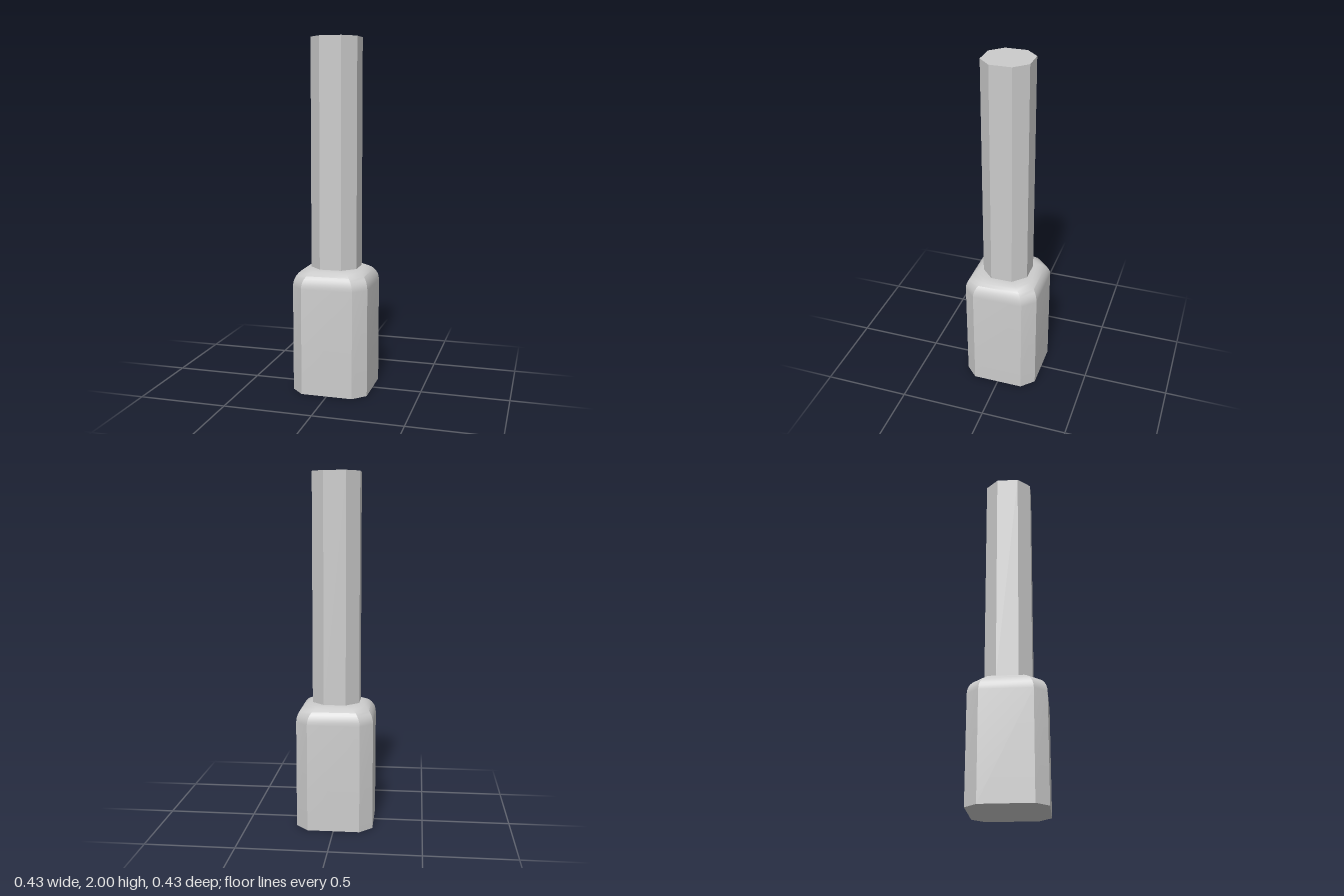
import * as THREE from 'three';
import { toCreasedNormals } from 'three/addons/utils/BufferGeometryUtils.js';

// Square of half-width h with its corners cut, flat sides reaching to +-c
const octagon = (h, c) => [
  [h, -c], [h, c], [c, h], [-c, h], [-h, c], [-h, -c], [-c, -h], [c, -h],
];

// Lofts octagonal sections { y, h, c } from bottom to top and caps both ends
function loft(sections) {
  const positions = [];
  const indices = [];
  for (const { y, h, c } of sections) {
    for (const [x, z] of octagon(h, c)) positions.push(x, y, z);
  }
  const last = sections.length - 1;
  const bottom = sections.length * 8;
  const top = bottom + 1;
  positions.push(0, sections[0].y, 0, 0, sections[last].y, 0);
  for (let j = 0; j < 8; j++) {
    const k = (j + 1) % 8;
    for (let i = 0; i < last; i++) {
      const a = i * 8 + j, b = i * 8 + k;
      indices.push(a, a + 8, b, b, a + 8, b + 8);
    }
    indices.push(bottom, j, k, top, last * 8 + k, last * 8 + j);
  }
  const geometry = new THREE.BufferGeometry();
  geometry.setAttribute('position', new THREE.Float32BufferAttribute(positions, 3));
  geometry.setIndex(indices);
  return toCreasedNormals(geometry, 0.6);
}

export function createModel() {
  const group = new THREE.Group();
  group.name = 'shaftWithChamferedBase';
  const material = new THREE.MeshStandardMaterial({ color: 0xcccccc });

  // Base: straight sides, then a rounded shoulder drawing in to the shaft
  const sections = [{ y: 0, h: 0.217, c: 0.147 }];
  const steps = 8;
  for (let i = 0; i <= steps; i++) {
    const angle = (i / steps) * Math.PI / 2;
    const inset = 0.084 * (1 - Math.cos(angle));
    sections.push({ y: 0.61 + 0.1 * Math.sin(angle), h: 0.217 - inset, c: 0.147 - inset });
  }
  const base = new THREE.Mesh(loft(sections), material);
  base.name = 'base';

  // Shaft: a plain octagonal rod
  const shaft = new THREE.Mesh(
    loft([{ y: 0.71, h: 0.133, c: 0.062 }, { y: 2, h: 0.133, c: 0.062 }]),
    material,
  );
  shaft.name = 'shaft';

  group.add(base, shaft);
  return group;
}
